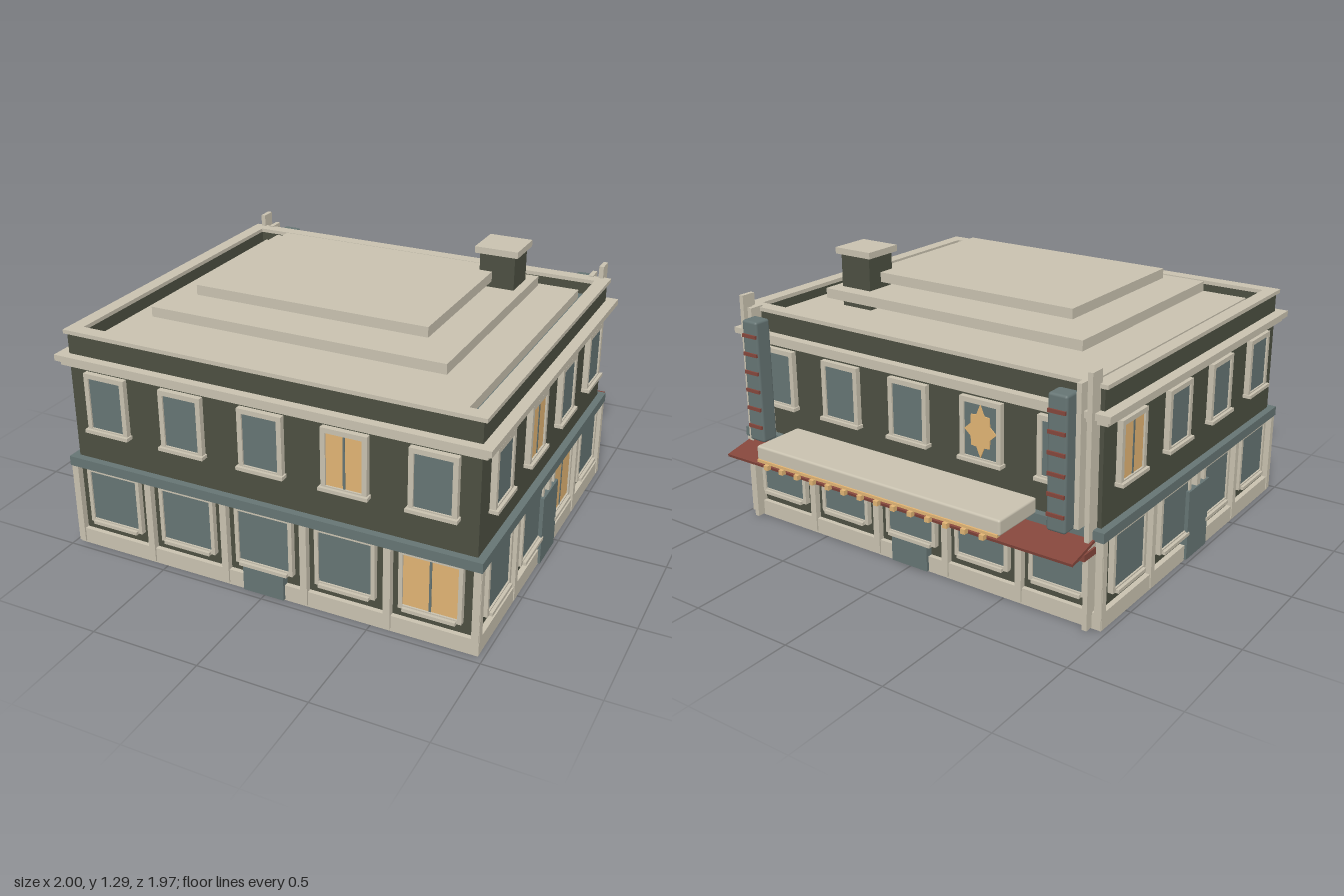
import * as THREE from 'three';
import { RoundedBoxGeometry } from 'three/addons/geometries/RoundedBoxGeometry.js';

const material = (name, color) => Object.assign(new THREE.MeshStandardMaterial({ color }), { name });
const stone = material('stone trim', 0xc8c1af);
const green = material('dark green wall', 0x4c4f41);
const slate = material('slate blue', 0x657473);
const amber = material('amber light', 0xe0b373);
const red = material('red awning', 0x84463b);

const CZ = 0.13; // centre of the main block in z

function add(parent, name, geometry, mat) {
  const mesh = new THREE.Mesh(geometry, mat);
  mesh.name = name;
  parent.add(mesh);
  return mesh;
}

// Box given by its limits on each axis
function box(parent, name, mat, x0, x1, y0, y1, z0, z1) {
  const mesh = add(parent, name, new THREE.BoxGeometry(x1 - x0, y1 - y0, z1 - z0), mat);
  mesh.position.set((x0 + x1) / 2, (y0 + y1) / 2, (z0 + z1) / 2);
  return mesh;
}

// Box around the main block, by half sizes
const tier = (parent, name, mat, hx, hz, y0, y1) =>
  box(parent, name, mat, -hx, hx, y0, y1, CZ - hz, CZ + hz);

// Hollow rectangle running round the roof
function ring(parent, name, mat, hx, hz, t, y0, y1) {
  const g = new THREE.Group();
  g.name = name;
  for (const s of [-1, 1]) {
    const z = CZ + s * (hz - t / 2), x = s * (hx - t / 2);
    box(g, name + 'Long', mat, -hx, hx, y0, y1, z - t / 2, z + t / 2);
    box(g, name + 'Short', mat, x - t / 2, x + t / 2, y0, y1, CZ - hz + t, CZ + hz - t);
  }
  parent.add(g);
}

// Framed window on a wall plane, outward is +z; lit ones show a thin mullion
function makeWindow(wall, u, w, y0, y1, f, sillW, lit) {
  const g = new THREE.Group();
  g.name = 'window';
  g.position.x = u;
  const h = w / 2;
  box(g, 'pane', lit ? amber : slate, -h, h, y0, y1, 0, 0.018);
  if (lit) box(g, 'mullion', slate, -0.005, 0.005, y0, y1, 0.018, 0.021);
  for (const s of [-1, 1]) {
    const x = s * (h + f / 2);
    box(g, 'frameSide', stone, x - f / 2, x + f / 2, y0 - f, y1 + f, 0, 0.026);
  }
  box(g, 'frameTop', stone, -h, h, y1, y1 + f, 0, 0.026);
  box(g, 'frameBottom', stone, -h, h, y0 - f, y0, 0, 0.026);
  box(g, 'sill', stone, -sillW / 2, sillW / 2, y0 - 0.022, y0 - 0.006, 0, 0.04);
  wall.add(g);
}

// One facade: two rows of windows, pilasters and a door
function makeWall(root, name, o) {
  const wall = new THREE.Group();
  wall.name = name;
  wall.position.set(o.x, 0, o.z);
  wall.rotation.y = o.turn;
  o.windows.forEach((u, i) => {
    makeWindow(wall, u, 0.162, 0.614, 0.85, 0.022, 0.22, i === o.litUpper);
    makeWindow(wall, u, 0.24, 0.147, 0.387, 0.018, 0.232, i === o.litLower);
  });
  for (const u of o.pilasters) box(wall, 'pilaster', stone, u - 0.016, u + 0.016, 0.01, 0.4, 0, 0.03);
  box(wall, 'door', slate, -0.098, 0.098, 0.005, o.doorTop, 0, 0.036);
  root.add(wall);
  return wall;
}

export function createModel() {
  const root = new THREE.Group();
  root.name = 'cornerTheatreBuilding';

  // Main block and horizontal bands
  tier(root, 'mainBlock', green, 0.95, 0.81, 0.002, 0.965);
  tier(root, 'plinth', stone, 0.975, 0.832, 0, 0.075);
  tier(root, 'shopBand', slate, 0.983, 0.843, 0.4, 0.445);
  tier(root, 'lowerCornice', stone, 0.98, 0.835, 0.89, 0.912);
  tier(root, 'upperCornice', stone, 1.0, 0.852, 0.912, 0.94);

  // Parapet and stepped roof
  ring(root, 'parapet', green, 0.95, 0.81, 0.045, 0.94, 1.032);
  ring(root, 'coping', stone, 0.966, 0.818, 0.063, 1.032, 1.05);
  tier(root, 'gutter', slate, 0.905, 0.765, 0.96, 0.972);
  tier(root, 'roofDeck', stone, 0.845, 0.697, 0.972, 1.015);
  box(root, 'middleRoofSlab', stone, -0.692, 0.692, 1.06, 1.106, -0.422, 0.678);
  box(root, 'topRoofSlab', stone, -0.552, 0.547, 1.134, 1.18, -0.275, 0.53);

  // Chimney
  box(root, 'chimney', green, 0.487, 0.652, 1.0, 1.263, -0.353, -0.193);
  box(root, 'chimneyCap', stone, 0.467, 0.669, 1.263, 1.293, -0.373, -0.177);

  // Facades
  const five = [-0.763, -0.382, 0, 0.382, 0.763], four = [-0.605, -0.202, 0.202, 0.605];
  const long = { windows: five, pilasters: [-0.962, -0.575, -0.192, 0.192, 0.575, 0.962], doorTop: 0.125 };
  const short = { windows: four, pilasters: [-0.82, -0.407, 0, 0.407, 0.82], doorTop: 0.338 };
  makeWall(root, 'frontWall', { ...long, x: 0, z: 0.94, turn: 0, litUpper: 3, litLower: 4 });
  const back = makeWall(root, 'backWall', { ...long, x: 0, z: -0.68, turn: Math.PI });
  makeWall(root, 'leftWall', { ...short, x: 0.95, z: CZ, turn: Math.PI / 2, litUpper: 1, litLower: 2 });
  makeWall(root, 'rightWall', { ...short, x: -0.95, z: CZ, turn: -Math.PI / 2, litUpper: 0 });

  // Star ornament on a rear window
  const star = new THREE.Shape();
  for (let i = 0; i < 16; i++) {
    const r = i % 2 ? 0.65 : i % 4 ? 0.82 : 1, a = i * Math.PI / 8;
    star[i ? 'lineTo' : 'moveTo'](0.08 * r * Math.cos(a), 0.117 * r * Math.sin(a));
  }
  add(back, 'starOrnament', new THREE.ExtrudeGeometry(star, { depth: 0.005, bevelEnabled: false }), amber)
    .position.set(0.382, 0.732, 0.018);

  // Rear corner fins and sign towers with rungs
  for (const s of [-1, 1]) {
    [[0.92, 0.005, 1.108], [0.872, 0.445, 1.056], [0.828, 0.445, 0.95]].forEach(([x, y0, y1]) =>
      box(root, 'cornerFin', stone, s * x - 0.011, s * x + 0.011, y0, y1, -0.742, -0.67));
    const tower = add(root, 'signTower', new RoundedBoxGeometry(0.09, 0.58, 0.085, 2, 0.012), slate);
    tower.position.set(s * 0.815, 0.73, -0.763);
    for (let i = 0; i < 6; i++) {
      const y = 0.515 + i * 0.087;
      box(root, 'signRung', red, s * 0.815 - 0.04, s * 0.815 + 0.04, y - 0.008, y + 0.008, -0.813, -0.8);
    }
  }

  // Sloped awning with beam and brackets
  const awning = add(root, 'awning', new THREE.BoxGeometry(1.88, 0.013, 0.17), red);
  awning.position.set(0, 0.382, -0.793);
  awning.rotation.x = -0.21;
  box(root, 'awningBeam', red, -0.94, 0.94, 0.34, 0.37, -0.787, -0.7);
  for (let i = 0; i < 5; i++) {
    const x = -0.9 + i * 0.45;
    box(root, 'awningBracket', red, x - 0.012, x + 0.012, 0.334, 0.366, -0.795, -0.7);
  }

  // Marquee with a light strip and bulbs along its lower edge
  const marquee = add(root, 'marquee', new RoundedBoxGeometry(1.316, 0.07, 0.262, 2, 0.01), stone);
  marquee.position.set(0, 0.475, -0.829);
  box(root, 'lightStrip', amber, -0.65, 0.65, 0.436, 0.449, -0.968, -0.95);
  for (let i = 0; i < 14; i++) {
    const x = -0.585 + i * 0.09;
    box(root, 'bulb', amber, x - 0.011, x + 0.011, 0.416, 0.438, -0.984, -0.962);
  }

  return root;
}
